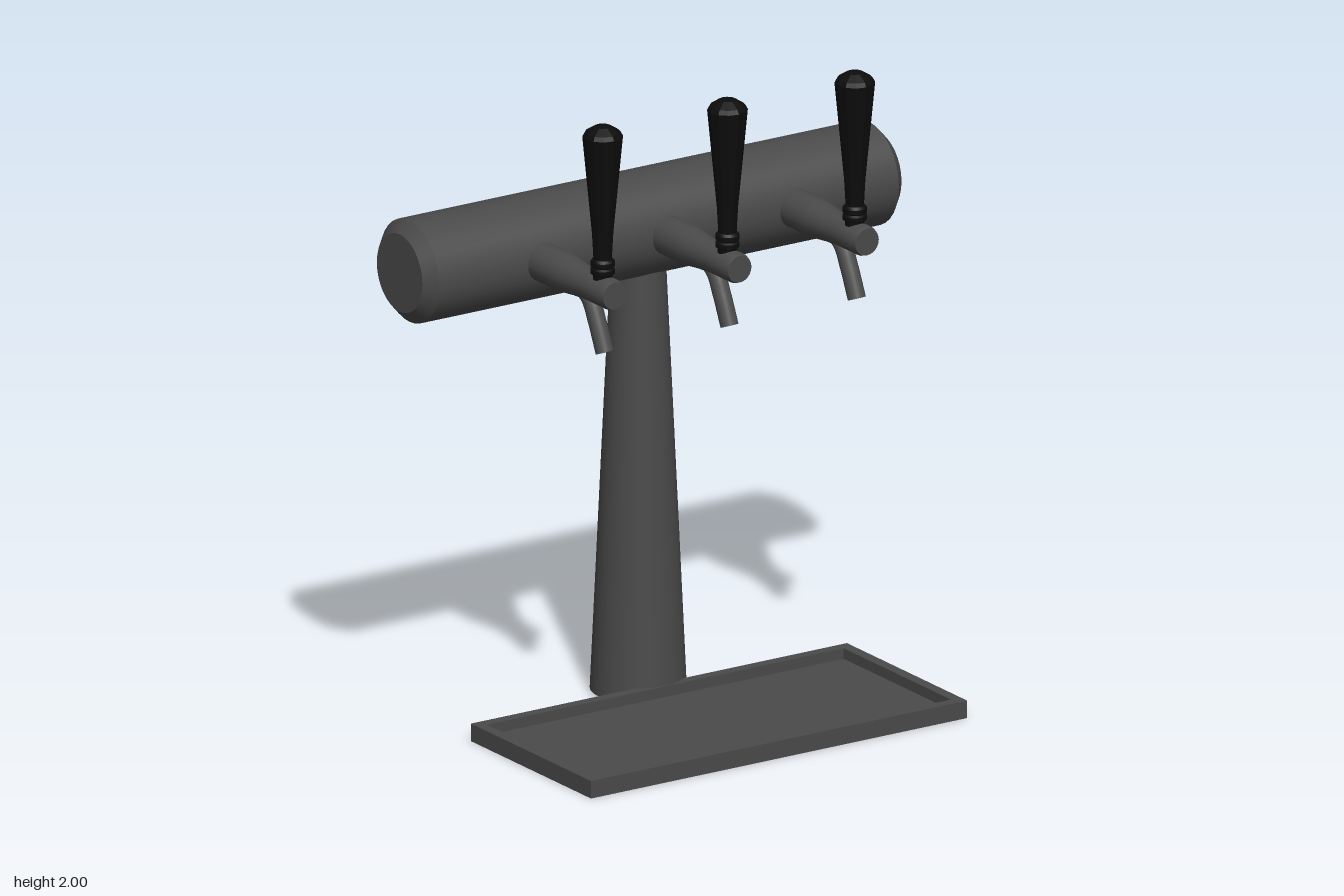
import * as THREE from 'three';
import { toCreasedNormals } from 'three/addons/utils/BufferGeometryUtils.js';

const metal = new THREE.MeshStandardMaterial({ color: 0x4a4a4a });
const metalOpen = new THREE.MeshStandardMaterial({ color: 0x4a4a4a, side: THREE.DoubleSide });
const black = new THREE.MeshStandardMaterial({ color: 0x0c0c0c });
const blackFacet = new THREE.MeshStandardMaterial({ color: 0x0c0c0c, flatShading: true });

function part(name, geometry, material, parent) {
  const mesh = new THREE.Mesh(geometry, material);
  mesh.name = name;
  parent.add(mesh);
  return mesh;
}

// Solid of revolution about y from [radius, height] pairs, bottom to top
function turned(points, sides) {
  const g = new THREE.LatheGeometry(points.map(([r, y]) => new THREE.Vector2(r, y)), sides);
  return toCreasedNormals(g, 0.5);
}

// Shallow drip tray: floor plate with a raised rim
function dripTray() {
  const tray = new THREE.Group();
  tray.name = 'dripTray';
  const w = 1.35, d = 0.645, h = 0.055, rim = 0.035, floor = 0.022;
  const rect = (Type, a, b) => new Type([[-a, -b], [a, -b], [a, b], [-a, b]]
    .map(([x, y]) => new THREE.Vector2(x, y)));
  const outline = rect(THREE.Shape, w / 2, d / 2);
  outline.holes.push(rect(THREE.Path, w / 2 - rim, d / 2 - rim));
  const rimGeo = new THREE.ExtrudeGeometry(outline, { depth: h, bevelEnabled: false });
  rimGeo.rotateX(-Math.PI / 2);
  part('trayRim', rimGeo, metal, tray);
  part('trayFloor', new THREE.BoxGeometry(w - 2 * rim, floor, d - 2 * rim), metal, tray)
    .position.y = floor / 2;
  tray.position.set(0.002, 0, 0.133);
  return tray;
}

// One tap: horizontal body, curved spout, collar and faceted handle
function tap(x) {
  const g = new THREE.Group();
  g.name = 'tap';
  const body = turned([[0, -0.2], [0.06, -0.2], [0.06, -0.03], [0.058, 0], [0.051, 0.06],
    [0.047, 0.13], [0.047, 0.228], [0.042, 0.243], [0, 0.243]], 24);
  body.rotateX(Math.PI / 2);
  part('tapBody', body, metal, g).position.y = 1.48;

  const bend = new THREE.CatmullRomCurve3([
    new THREE.Vector3(0, 1.475, 0.045), new THREE.Vector3(0, 1.435, 0.112),
    new THREE.Vector3(0, 1.375, 0.147), new THREE.Vector3(0, 1.287, 0.188)]);
  part('spout', new THREE.TubeGeometry(bend, 14, 0.028, 16), metalOpen, g);

  const collar = turned([[0, 1.5], [0.03, 1.5], [0.03, 1.53], [0.037, 1.535], [0.037, 1.548],
    [0.031, 1.553], [0.037, 1.558], [0.037, 1.572], [0.03, 1.58], [0, 1.58]], 16);
  part('handleCollar', collar, black, g).position.z = 0.177;

  const grip = new THREE.LatheGeometry([[0, 1.57], [0.027, 1.57], [0.032, 1.66], [0.061, 1.965],
    [0.054, 1.978], [0.026, 1.996], [0, 2]].map(([r, y]) => new THREE.Vector2(r, y)), 12);
  part('handleGrip', grip, blackFacet, g).position.z = 0.177;
  g.position.x = x;
  return g;
}

export function createModel() {
  const model = new THREE.Group();
  model.name = 'tapTower';
  model.add(dripTray());

  // Tapered column
  part('column', turned([[0, 0.01], [0.145, 0.01], [0.08, 1.42], [0, 1.42]], 32), metal, model)
    .position.set(0.004, 0, -0.303);

  // Horizontal bar with chamfered ends
  const bar = turned([[0, -0.86], [0.122, -0.86], [0.16, -0.825], [0.16, 0.825],
    [0.122, 0.86], [0, 0.86]], 32);
  bar.rotateZ(Math.PI / 2);
  part('crossBar', bar, metal, model).position.set(0, 1.48, -0.292);

  for (const x of [-0.445, 0.003, 0.46]) model.add(tap(x));
  return model;
}
